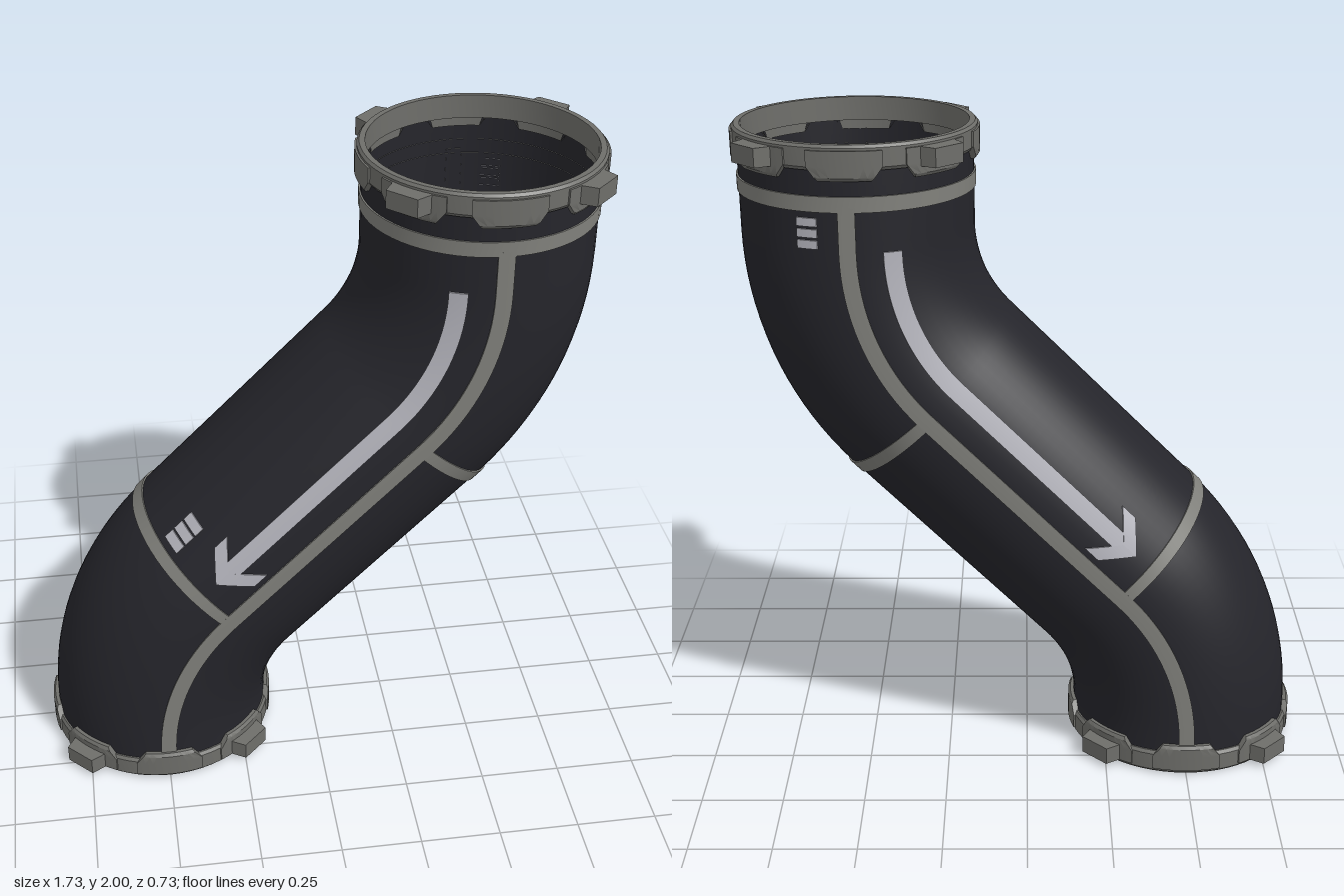
import * as THREE from 'three';
import { toCreasedNormals } from 'three/addons/utils/BufferGeometryUtils.js';

const R = 0.345;                 // pipe radius
const BEND = 0.717;              // centre-line radius of each 45 degree bend
const Q = Math.PI / 4;
const ARC = BEND * Q;
// distances along the centre line where its sections meet
const S1 = 0.1, S2 = S1 + ARC, S3 = S2 + 0.82, S4 = S3 + ARC, END = S4 + 0.306;
const rad = THREE.MathUtils.degToRad;

const paint = (color) => new THREE.MeshStandardMaterial({ color, side: THREE.DoubleSide });
const dark = paint(0x25252b), metal = paint(0x6e6e6a), trim = paint(0x80807b), light = paint(0xb4b4bc);

// centre line: position and lean from vertical at distance s
function centre(s) {
  if (s < S1) return [-0.5, s, 0];
  if (s < S2) {
    const t = (s - S1) / BEND;
    return [-0.5 + BEND * (1 - Math.cos(t)), S1 + BEND * Math.sin(t), t];
  }
  if (s < S3) {
    const d = (s - S2) * Math.SQRT1_2;
    return [-0.29 + d, 0.607 + d, Q];
  }
  if (s < S4) {
    const t = (S4 - s) / BEND;
    return [0.5 - BEND * (1 - Math.cos(t)), 1.694 - BEND * Math.sin(t), t];
  }
  return [0.5, 1.694 + s - S4, 0];
}

// point on the pipe: angle 0 is the front, 90 degrees the upper side, 180 the back
function onPipe(s, a, r) {
  const [x, y, t] = centre(s);
  const n = r * Math.sin(a);
  return [x - Math.cos(t) * n, y + Math.sin(t) * n, r * Math.cos(a)];
}

// grid of points from a rule f(u, v)
function surface(f, nu, nv) {
  const pos = [], idx = [];
  for (let i = 0; i <= nu; i++) {
    for (let j = 0; j <= nv; j++) {
      pos.push(...f(i, j));
      if (i < nu && j < nv) {
        const k = i * (nv + 1) + j, m = k + nv + 1;
        idx.push(k, k + 1, m, m, k + 1, m + 1);
      }
    }
  }
  const g = new THREE.BufferGeometry();
  g.setAttribute('position', new THREE.Float32BufferAttribute(pos, 3));
  g.setIndex(idx);
  return toCreasedNormals(g, 0.6);
}

// raised patch on the pipe; at(u, v) gives [distance, angle], outer rows drop to the wall
function patch(at, nu, nv, h = 0.005) {
  const clamp = (i, n) => Math.min(Math.max(i - 1, 0), n) / n;
  return surface((i, j) => {
    const edge = i === 0 || j === 0 || i === nu + 2 || j === nv + 2;
    const [s, a] = at(clamp(i, nu), clamp(j, nv));
    return onPipe(s, a, edge ? R - 0.002 : R + h);
  }, nu + 2, nv + 2);
}

const block = (s0, s1, a0, a1, nu, nv) =>
  patch((u, v) => [s0 + (s1 - s0) * u, rad(a0 + (a1 - a0) * v)], nu, nv);

function add(parent, name, geometry, material) {
  const mesh = new THREE.Mesh(geometry, material);
  mesh.name = name;
  parent.add(mesh);
  return mesh;
}

// end collar standing on y = 0, tabs rising toward the pipe
function makeCollar(name) {
  const collar = new THREE.Group();
  collar.name = name;
  const profile = [[0.333, 0], [0.35, 0], [0.357, 0.008], [0.357, 0.062], [0.35, 0.072], [0.333, 0.072], [0.333, 0]];
  const ring = new THREE.LatheGeometry(profile.map(([x, y]) => new THREE.Vector2(x, y)), 64);
  add(collar, 'collarRing', toCreasedNormals(ring, 0.4), metal);

  // tab: a curved plate narrowing away from the ring
  const half = (y) => rad(y > 0.06 ? 17 - (y - 0.06) * 120 : 17);
  const section = [[0.34, 0.015], [0.363, 0.015], [0.363, 0.06], [0.363, 0.09], [0.356, 0.1], [0.34, 0.1], [0.34, 0.015]];
  const tab = surface((i, j) => {
    const [r, y] = section[j];
    const a = half(y) * (Math.min(Math.max(i - 1, 0), 8) / 4 - 1);
    const rr = i === 0 || i === 10 ? 0.34 : r;
    return [rr * Math.sin(a), y, rr * Math.cos(a)];
  }, 10, section.length - 1);

  // lug: a tapered block pointing outward
  const outline = new THREE.Shape([[-0.07, 0.335], [0.07, 0.335], [0.052, 0.405], [-0.052, 0.405]]
    .map(([x, y]) => new THREE.Vector2(x, y)));
  const lug = new THREE.ExtrudeGeometry(outline, { depth: 0.055, bevelEnabled: false });
  lug.rotateX(Math.PI / 2).translate(0, 0.07, 0);

  for (let i = 0; i < 8; i++) {
    add(collar, 'collarTab', tab, metal).rotation.y = i * Q;
    if (i % 2) add(collar, 'collarLug', lug, metal).rotation.y = i * Q;
  }
  return collar;
}

export function createModel() {
  const model = new THREE.Group();
  model.name = 'bentPipe';

  // hollow pipe wall
  add(model, 'pipe', surface((i, j) =>
    onPipe(0.02 + (END - 0.04) * i / 72, (j / 64) * Math.PI * 2, R), 72, 64), dark);

  // collars at both ends
  const bottom = makeCollar('bottomCollar');
  bottom.position.x = -0.5;
  const top = makeCollar('topCollar');
  top.position.set(0.5, 2, 0);
  top.rotation.x = Math.PI;
  model.add(bottom, top);

  // trim: band under the top collar, half seams at the bends, a strip on each side
  add(model, 'topBand', block(S4 + 0.116, S4 + 0.161, 0, 360, 1, 64), trim);
  add(model, 'lowerSeam', block(S2 - 0.018, S2 + 0.018, 0, 180, 1, 32), trim);
  add(model, 'upperSeam', block(S3 - 0.018, S3 + 0.018, 180, 360, 1, 32), trim);
  for (const a of [0, 180]) {
    add(model, 'sideStrip', block(0.09, S4 + 0.13, a - 4, a + 4, 64, 2), trim);
  }

  // flow arrow on the front and on the back
  const tip = 0.735;
  for (const a of [21, 159]) {
    const arrow = new THREE.Group();
    arrow.name = 'flowArrow';
    add(arrow, 'arrowShaft', block(tip + 0.045, S4, a - 4.5, a + 4.5, 48, 2), light);
    for (const side of [-1, 1]) {
      add(arrow, 'arrowHead', patch((u, v) =>
        [tip + u * 0.08 + v * 0.055, rad(a) + side * u * 0.085 / R], 6, 1), light);
    }
    model.add(arrow);
  }

  // small bar marks
  for (let i = 0; i < 3; i++) {
    const s = 0.705 + i * 0.042;
    add(model, 'frontMark', block(s, s + 0.034, 46, 57, 1, 4), light);
    const b = S4 + 0.01 + i * 0.032;
    add(model, 'backMark', block(b, b + 0.024, 194, 204, 1, 4), light);
  }
  return model;
}
